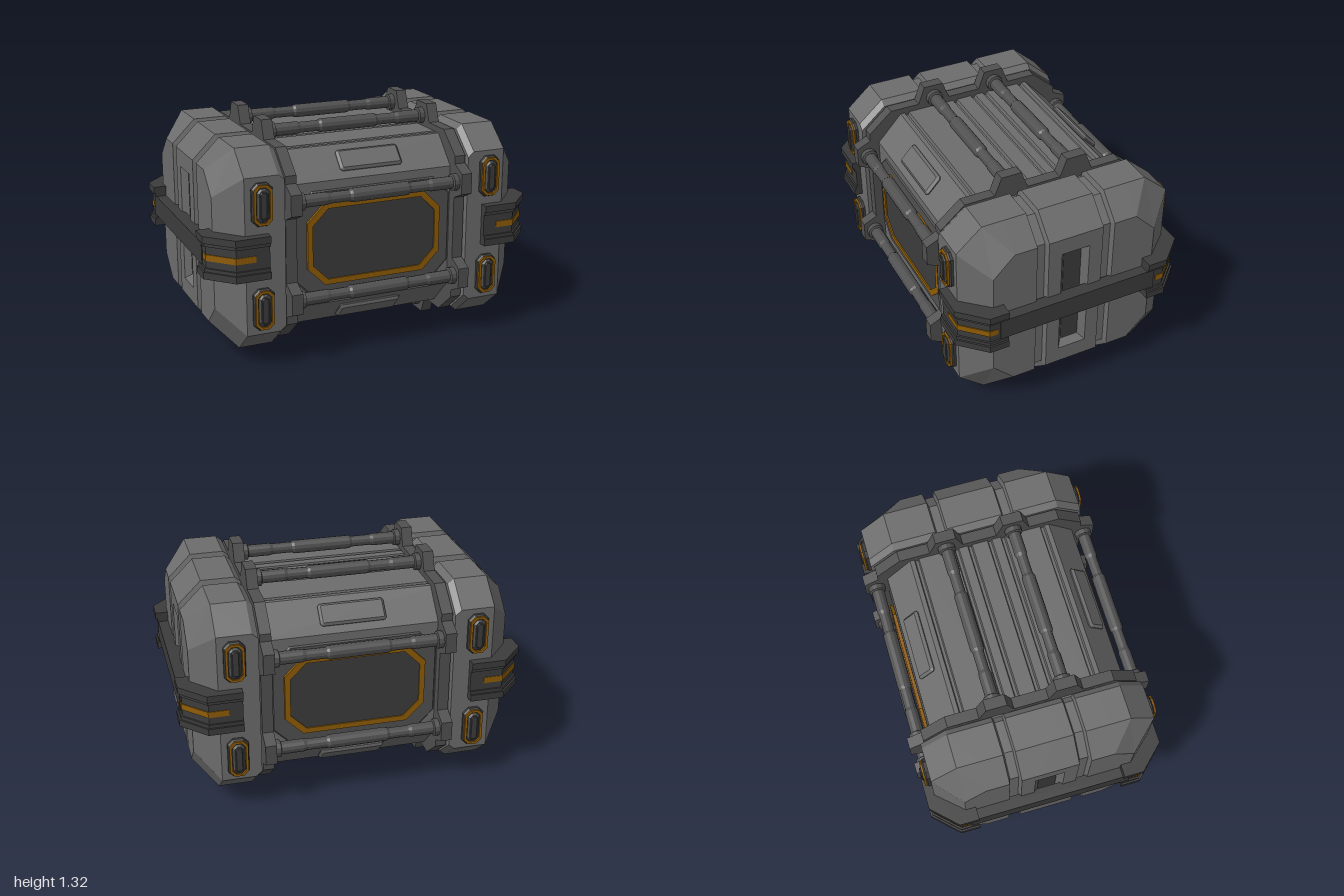
import * as THREE from 'three';

const CY = 0.66; // height of the crate's centre
const mat = (color) => new THREE.MeshStandardMaterial({ color, flatShading: true, side: THREE.DoubleSide });
const GREY = mat(0x6c6c6c), MID = mat(0x505050), DARK = mat(0x3c3c3c), AMBER = mat(0x8f5c06);

function add(parent, name, geometry, material, x = 0, y = 0, z = 0) {
  const mesh = new THREE.Mesh(geometry, material);
  mesh.name = name;
  mesh.position.set(x, y, z);
  parent.add(mesh);
  return mesh;
}

const toVectors = (pts) => pts.map(([x, y]) => new THREE.Vector2(x, y));

// Prism from an outline, centred on its extrusion axis
function prism(pts, depth) {
  return new THREE.ExtrudeGeometry(new THREE.Shape(toVectors(pts)), { depth, bevelEnabled: false })
    .translate(0, 0, -depth / 2);
}

// Rectangle with cut corners
const cutRect = (w, h, c) => [
  [w - c, -h], [w, -h + c], [w, h - c], [w - c, h],
  [-w + c, h], [-w, h - c], [-w, -h + c], [-w + c, -h],
];

// Plate standing on z = 0 with a bevelled front edge
function plate(w, h, c, depth, bevel = 0.01) {
  const shape = new THREE.Shape(toVectors(cutRect(w - bevel, h - bevel, c)));
  return new THREE.ExtrudeGeometry(shape, {
    depth: depth - bevel, bevelEnabled: true, bevelSegments: 1, bevelSize: bevel, bevelThickness: bevel,
  });
}

// Flat ring with cut corners standing on z = 0
function frame(w, h, c, rim, depth) {
  const shape = new THREE.Shape(toVectors(cutRect(w, h, c)));
  shape.holes.push(new THREE.Path(toVectors(cutRect(w - rim, h - rim, c - rim * 0.4))));
  return new THREE.ExtrudeGeometry(shape, { depth, bevelEnabled: false });
}

// Chamfered end cap, lofted along z, with two grooves and a recessed side panel
function endCapGeometry() {
  // z, half height, half height of outer face, chamfer x, outer x, recess depth
  const half = [
    [0.645, 0.45, 0.45, 0.79, 0.79, 0],
    [0.495, 0.58, 0.32, 0.79, 0.925, 0],
    [0.37, 0.58, 0.445, 0.79, 0.925, 0],
    [0.235, 0.58, 0.445, 0.79, 0.925, 0],
    [0.225, 0.55, 0.43, 0.775, 0.895, 0],
    [0.175, 0.55, 0.43, 0.775, 0.895, 0],
    [0.165, 0.58, 0.445, 0.79, 0.925, 0],
    [0.085, 0.58, 0.445, 0.79, 0.925, 0],
    [0.055, 0.58, 0.445, 0.79, 0.925, 0.04],
  ];
  const sections = [...half.map(([z, ...r]) => [-z, ...r]), ...half.slice().reverse()];
  const rings = sections.map(([z, h, hb, xc, xo, d]) => {
    const p = Math.min(0.345, hb - 0.01), q = p - 0.03;
    const upper = [[xo - d, q], [xo, p], [xo, hb], [xc, h], [0.595, h], [0.56, h - 0.03]];
    const lower = upper.map(([x, y]) => [x, -y]).reverse();
    return [...lower, ...upper].map(([x, y]) => new THREE.Vector3(x, y, z));
  });
  const tris = [], n = rings[0].length;
  for (let s = 0; s < rings.length - 1; s++) {
    const a = rings[s], b = rings[s + 1];
    for (let i = 0; i < n; i++) {
      const j = (i + 1) % n;
      if ((i >= n / 2) === (a[0].z + b[0].z > 0)) tris.push(a[i], a[j], b[j], a[i], b[j], b[i]);
      else tris.push(a[i], a[j], b[i], a[j], b[j], b[i]);
    }
  }
  const first = rings[0], last = rings[rings.length - 1];
  for (let i = 1; i < n - 1; i++) tris.push(first[0], first[i + 1], first[i], last[0], last[i], last[i + 1]);
  const geometry = new THREE.BufferGeometry().setFromPoints(tris);
  geometry.computeVertexNormals();
  return geometry;
}

// Corner clasp: two flanges, a recessed waist and an amber strip
function addClasp(parent, side) {
  const clasp = new THREE.Group();
  clasp.name = 'cornerClasp';
  parent.add(clasp);
  const layer = (name, material, pts, y, height) =>
    add(clasp, name, prism(pts.map(([x, z]) => [x, -z * side]), height).rotateX(-Math.PI / 2), material, 0, y, 0);
  const hook = (inset) => [
    [0.66, 0.695 - inset], [0.86 - inset * 0.4, 0.695 - inset], [1 - inset, 0.55 - inset * 0.4], [1 - inset, 0.435],
    [0.9, 0.435], [0.9, 0.5], [0.78, 0.62], [0.66, 0.62],
  ];
  for (const s of [-1, 1]) {
    layer('claspFlange', DARK, hook(0), CY + 0.0075 + s * 0.102, 0.04);
    layer('claspStep', DARK, hook(0.01), CY + 0.0075 + s * 0.072, 0.02);
  }
  layer('claspWaist', DARK, hook(0.02), CY + 0.0075, 0.125);
  layer('claspStrip', AMBER, [
    [0.74, 0.679], [0.855, 0.679], [0.984, 0.546], [0.984, 0.495], [0.9, 0.495], [0.78, 0.62], [0.74, 0.62],
  ], CY + 0.005, 0.036);
}

// Everything on the +x end
function buildEnd() {
  const end = new THREE.Group();
  end.name = 'crateEnd';
  add(end, 'endCap', endCapGeometry(), GREY, 0, CY, 0);
  add(end, 'sideRecessPanel', new THREE.BoxGeometry(0.01, 0.62, 0.108), DARK, 0.883, CY, 0);
  add(end, 'sideBand', new THREE.BoxGeometry(0.075, 0.125, 0.96), DARK, 0.9475, CY + 0.0075, 0);

  // Rib ring with a trapezoid lug at every rod
  const lug = (c) => [[c - 0.1, 0], [c - 0.06, 1], [c + 0.06, 1], [c + 0.1, 0]];
  const right = [...lug(-0.285), ...lug(0.285)].map(([y, t]) => [t ? 0.71 : 0.625, y]);
  const top = [...lug(0.2), ...lug(-0.2)].map(([z, t], i) => [z, t ? 0.66 : 0.555]);
  // Lug points on the top run from +z to -z
  top.sort((a, b) => b[0] - a[0]);
  const halfRing = [...right, [0.625, 0.43], [0.48, 0.555], ...top, [-0.48, 0.555], [-0.625, 0.43]];
  const ring = [
    ...halfRing,
    ...halfRing.map(([z, y]) => [-z, -y]),
  ];
  add(end, 'ribRing', prism(ring, 0.065).rotateY(Math.PI / 2), MID, 0.5175, CY, 0);

  for (const side of [-1, 1]) {
    addClasp(end, side);
    // Small framed pads on the front and back faces
    for (const s of [-1, 1]) {
      const pad = new THREE.Group();
      pad.name = 'capPad';
      pad.position.set(0.695, CY + s * 0.3, side * 0.64);
      if (side < 0) pad.rotation.y = Math.PI;
      add(pad, 'padBase', plate(0.06, 0.12, 0.025, 0.03), DARK);
      add(pad, 'padRing', frame(0.053, 0.112, 0.028, 0.014, 0.04), AMBER);
      add(pad, 'padCore', plate(0.034, 0.092, 0.015, 0.043), MID);
      add(pad, 'padInset', plate(0.02, 0.075, 0.008, 0.05, 0.004), DARK);
      end.add(pad);
    }
  }
  return end;
}

// Handle rod along x with collars and a thicker grip
function rodGeometry() {
  const half = [[0.04, 0.17], [0.032, 0.185], [0.032, 0.3], [0.037, 0.32], [0.037, 0.45], [0.05, 0.455], [0.05, 0.49]];
  const profile = [...half.map(([r, x]) => [r, -x]).reverse(), ...half];
  return new THREE.LatheGeometry(toVectors(profile), 12).rotateZ(-Math.PI / 2);
}

export function createModel() {
  const crate = new THREE.Group();
  crate.name = 'crate';

  // Central body, with grooves running along its top and bottom
  const groove = (z) => [[z + 0.014, 0.52], [z + 0.008, 0.5], [z - 0.008, 0.5], [z - 0.014, 0.52]];
  const over = [[0.57, 0.36], [0.42, 0.52], ...[0.38, 0.14, 0.06, -0.06, -0.14, -0.38].flatMap(groove),
    [-0.42, 0.52], [-0.57, 0.36]];
  const outline = [...over, ...over.map(([z, y]) => [-z, -y])];
  add(crate, 'body', prism(outline, 1.13).rotateY(Math.PI / 2), GREY, 0, CY, 0);

  // Both ends
  for (const turn of [0, Math.PI]) {
    const end = buildEnd();
    end.rotation.y = turn;
    crate.add(end);
  }

  const rod = rodGeometry();
  for (const side of [-1, 1]) {
    // Amber framed panel on the front and back
    const panel = new THREE.Group();
    panel.name = 'facePanel';
    panel.position.set(0, CY, side * 0.56);
    if (side < 0) panel.rotation.y = Math.PI;
    add(panel, 'panelSurround', plate(0.48, 0.31, 0.1, 0.018, 0.008), MID);
    add(panel, 'panelFrame', frame(0.41, 0.24, 0.105, 0.032, 0.036), AMBER);
    add(panel, 'panelPlate', plate(0.38, 0.21, 0.09, 0.028, 0.002), DARK);
    crate.add(panel);

    for (const s of [-1, 1]) {
      // Rods on the top, bottom, front and back
      add(crate, 'handleRod', rod, MID, 0, CY + s * 0.58, side * 0.2);
      add(crate, 'handleRod', rod, MID, 0, CY + s * 0.285, side * 0.643);
      // Raised label block on each sloped face
      const block = add(crate, 'slopeBlock', plate(0.19, 0.065, 0.004, 0.02, 0.014), GREY, 0, CY + s * 0.444, side * 0.5);
      block.rotation.x = -Math.atan2(s * 0.15, side * 0.16);
    }
  }
  return crate;
}
